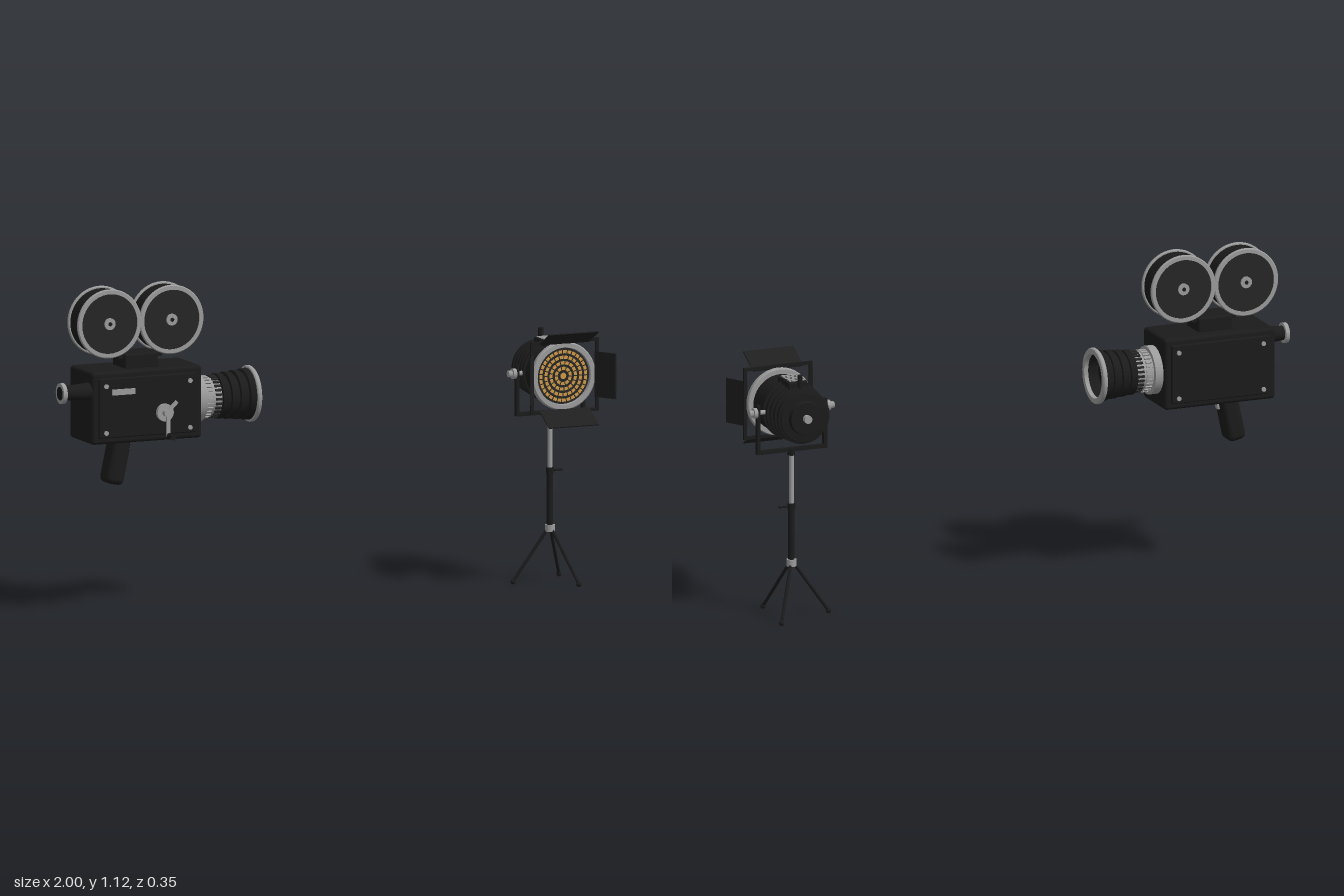
import * as THREE from 'three';
import { toCreasedNormals } from 'three/addons/utils/BufferGeometryUtils.js';
import { RoundedBoxGeometry } from 'three/addons/geometries/RoundedBoxGeometry.js';

const mat = (name, color, side = THREE.FrontSide) => {
  const m = new THREE.MeshStandardMaterial({ color, side });
  m.name = name;
  return m;
};

export function createModel() {
  const black = mat('black paint', 0x1b1b1b);
  const dark = mat('dark grey', 0x262626);
  const sheet = mat('door sheet black', 0x1f1f1f, THREE.DoubleSide);
  const silver = mat('silver metal', 0x9c9c9c);
  const amber = mat('amber lamp', 0xd09a48);
  const glass = mat('dark glass', 0x141618);

  const add = (parent, name, geo, material, x = 0, y = 0, z = 0) => {
    const m = new THREE.Mesh(geo, material);
    m.name = name;
    m.position.set(x, y, z);
    parent.add(m);
    return m;
  };
  const group = (parent, name, x = 0, y = 0, z = 0) => {
    const g = new THREE.Group();
    g.name = name;
    g.position.set(x, y, z);
    parent.add(g);
    return g;
  };
  const box = (w, h, d) => new THREE.BoxGeometry(w, h, d);
  const rbox = (w, h, d, r) => new RoundedBoxGeometry(w, h, d, 3, r);
  const cyl = (r1, r2, h, n = 32) => new THREE.CylinderGeometry(r1, r2, h, n);
  const cylX = (r1, r2, h, n) => cyl(r1, r2, h, n).rotateZ(-Math.PI / 2); // top faces +x
  const cylZ = (r1, r2, h, n) => cyl(r1, r2, h, n).rotateX(Math.PI / 2); // top faces +z
  // profile of [radius, height] pairs, kept crisp at corners
  const lathe = (pts, n = 48) =>
    toCreasedNormals(new THREE.LatheGeometry(pts.map(p => new THREE.Vector2(p[0], p[1])), n), 0.6);
  const rod = (parent, name, a, b, r, material) => {
    const d = b.clone().sub(a);
    const m = add(parent, name, cyl(r, r, d.length(), 12), material);
    m.position.copy(a).addScaledVector(d, 0.5);
    m.quaternion.setFromUnitVectors(new THREE.Vector3(0, 1, 0), d.normalize());
    return m;
  };

  const root = new THREE.Group();
  root.name = 'movie camera and studio light';

  // ---------- Movie camera ----------
  const cam = group(root, 'movieCamera');
  const bz = -0.025;
  add(cam, 'cameraBody', rbox(0.406, 0.248, 0.19, 0.012), black, -0.69, 0.724, bz);
  for (const s of [1, -1]) {
    add(cam, 'sidePanel', rbox(0.36, 0.205, 0.014, 0.005), black, -0.69, 0.724, bz + s * 0.096);
    for (const x of [-0.845, -0.535]) for (const y of [0.64, 0.8])
      add(cam, 'panelScrew', cylZ(0.008, 0.008, 0.008, 16), silver, x, y, bz + s * 0.104);
  }
  add(cam, 'namePlate', box(0.085, 0.02, 0.006), silver, -0.78, 0.778, bz + 0.104);

  // Reels and their mount
  add(cam, 'reelMount', rbox(0.125, 0.055, 0.107, 0.008), black, -0.692, 0.87, -0.021);
  add(cam, 'reelMountFoot', box(0.16, 0.014, 0.08), black, -0.692, 0.888, -0.021);
  const rim = lathe([[0.102, -0.006], [0.115, -0.006], [0.118, -0.003], [0.118, 0.003], [0.115, 0.006],
    [0.102, 0.006], [0.102, -0.006]]).rotateX(Math.PI / 2);
  for (const x of [-0.807, -0.578]) {
    const reel = group(cam, 'filmReel', x, 1.003, -0.022);
    add(reel, 'filmRoll', cylZ(0.111, 0.111, 0.07, 48), black);
    for (const s of [1, -1]) {
      add(reel, 'reelRim', rim, silver, 0, 0, s * 0.04);
      add(reel, 'reelFace', cylZ(0.104, 0.104, 0.008, 48), dark, 0, 0, s * 0.039);
      add(reel, 'reelHub', cylZ(0.02, 0.02, 0.012, 24), silver, 0, 0, s * 0.043);
      add(reel, 'hubHole', cylZ(0.007, 0.007, 0.003, 12), black, 0, 0, s * 0.0492);
    }
  }

  // Viewfinder
  const finder = group(cam, 'viewfinder', 0, 0.78, 0.038);
  add(finder, 'finderTube', cylX(0.031, 0.024, 0.1, 32), black, -0.94, 0, 0);
  add(finder, 'eyeCup', cylX(0.035, 0.035, 0.014, 32), silver, -0.991, 0, 0);
  add(finder, 'eyeGlass', cylX(0.023, 0.023, 0.004, 32), glass, -0.9972, 0, 0);

  // Lens, built along +x from the body
  const lens = group(cam, 'lens', -0.487, 0.722, -0.026);
  const turn = pts => lathe(pts).rotateZ(-Math.PI / 2);
  add(lens, 'lensMount', cylX(0.083, 0.083, 0.028, 48), silver, 0.014, 0, 0);
  add(lens, 'focusRing', cylX(0.068, 0.068, 0.075, 48), silver, 0.06, 0, 0);
  for (let i = 0; i < 28; i++) {
    const a = (i / 28) * Math.PI * 2;
    for (const x of [0.043, 0.076]) {
      const t = add(lens, 'gripTooth', box(0.024, 0.008, 0.008), x < 0.05 ? silver : dark,
        x, Math.cos(a) * 0.069, Math.sin(a) * 0.069);
      t.rotation.x = a;
    }
  }
  add(lens, 'lensBarrel', turn([
    [0.066, 0.088], [0.077, 0.09], [0.077, 0.112], [0.07, 0.114], [0.07, 0.12], [0.08, 0.122], [0.08, 0.144],
    [0.073, 0.146], [0.073, 0.152], [0.083, 0.154], [0.083, 0.176], [0.077, 0.178], [0.077, 0.184],
    [0.086, 0.188], [0.088, 0.21], [0.074, 0.21], [0.066, 0.17], [0, 0.17]]), black);
  add(lens, 'lensRim', turn([
    [0.074, 0.208], [0.093, 0.208], [0.096, 0.212], [0.096, 0.22], [0.093, 0.224], [0.076, 0.224], [0.074, 0.208]]), silver);
  const eye = add(lens, 'frontGlass', new THREE.SphereGeometry(0.066, 32, 12, 0, Math.PI * 2, 0, Math.PI / 2), glass, 0.171, 0, 0);
  eye.rotation.z = -Math.PI / 2;
  eye.scale.y = 0.25;

  // Grip and trigger
  const grip = group(cam, 'grip', -0.764, 0.535, -0.024);
  grip.rotation.z = -0.21;
  add(grip, 'gripHandle', rbox(0.066, 0.176, 0.08, 0.02), black);
  add(grip, 'trigger', rbox(0.02, 0.034, 0.02, 0.005), silver, 0.032, 0.047, 0);

  // Winding crank
  const crank = group(cam, 'crank', -0.631, 0.698, 0.08);
  add(crank, 'crankDisc', cylZ(0.03, 0.03, 0.016, 32), silver, 0, 0, 0.004);
  add(crank, 'crankAxle', cylZ(0.012, 0.012, 0.03, 20), silver, 0, 0, 0.015);
  add(crank, 'crankArm', box(0.014, 0.09, 0.008), silver, 0.006, -0.035, 0.02);
  const lever = add(crank, 'crankLever', box(0.012, 0.05, 0.008), silver, 0.02, 0.02, 0.02);
  lever.rotation.z = -0.8;
  add(crank, 'crankKnob', cylZ(0.011, 0.009, 0.042, 20), black, 0.008, -0.077, 0.038);

  // ---------- Studio light ----------
  const light = group(root, 'studioLight', 0.84, 0, -0.023);
  const V = (x, y, z) => new THREE.Vector3(x, y, z);

  // Stand
  for (const [x, z] of [[-0.129, -0.017], [0.053, 0.121], [0.08, -0.105]]) {
    rod(light, 'tripodLeg', V(x * 0.06, 0.185, z * 0.06), V(x, 0.01, z), 0.0055, black);
    add(light, 'tripodFoot', new THREE.SphereGeometry(0.009, 16, 10), black, x, 0.009, z);
  }
  add(light, 'tripodHub', cyl(0.017, 0.017, 0.024, 24), silver, 0, 0.187, 0);
  add(light, 'lowerTube', cyl(0.011, 0.011, 0.19, 24), black, 0, 0.29, 0);
  add(light, 'clampCollar', cyl(0.014, 0.014, 0.02, 24), black, 0, 0.385, 0);
  add(light, 'clampLever', cylX(0.004, 0.004, 0.035, 12), black, 0.028, 0.385, 0);
  add(light, 'upperTube', cyl(0.008, 0.008, 0.19, 24), silver, 0, 0.485, 0);

  // Yoke
  const head = group(light, 'lampHead', 0, 0.724, 0);
  add(head, 'yokeBase', box(0.254, 0.013, 0.016), black, 0, -0.14, 0);
  add(head, 'yokeSocket', cyl(0.013, 0.013, 0.024, 20), black, 0, -0.148, 0);
  for (const s of [1, -1]) {
    add(head, 'yokeArm', box(0.012, 0.172, 0.016), black, s * 0.122, -0.06, 0);
    add(head, 'pivotBolt', cylX(0.008, 0.008, 0.07, 16), silver, s * 0.118, 0, 0);
    add(head, 'pivotWasher', cylX(0.018, 0.018, 0.012, 24), silver, s * 0.134, 0, 0);
    add(head, 'pivotKnob', cylX(0.012, 0.012, 0.014, 6), silver, s * 0.148, 0, 0);
  }

  // Ribbed housing, built along z
  const housing = [[0, -0.132], [0.055, -0.132], [0.058, -0.116], [0.085, -0.114]];
  for (let i = 0; i < 5; i++) {
    const z = -0.11 + i * 0.027, r = 0.094 + i * 0.0025;
    housing.push([r - 0.008, z], [r, z + 0.002], [r, z + 0.013], [r - 0.008, z + 0.015]);
  }
  housing.push([0.098, 0.03], [0.098, 0.102], [0, 0.102]);
  add(head, 'housing', lathe(housing).rotateX(Math.PI / 2), black);
  add(head, 'rearCap', cylZ(0.045, 0.062, 0.02, 40).rotateY(Math.PI).scale(1, 1, -1).rotateY(0), black, 0, 0, -0.122).geometry =
    cylZ(0.062, 0.045, 0.02, 40);
  add(head, 'rearKnob', cylZ(0.014, 0.014, 0.02, 16), silver, 0, 0, -0.14);

  // Top vents and locking post
  add(head, 'ventBox', rbox(0.07, 0.03, 0.1, 0.006), black, 0, 0.096, -0.01);
  for (let i = 0; i < 5; i++)
    add(head, 'ventSlat', box(0.055, 0.005, 0.007), silver, 0, 0.111, 0.026 - i * 0.018);
  add(head, 'topPost', cyl(0.009, 0.009, 0.045, 16), black, 0, 0.115, -0.075);

  // Lens ring and rows of lamps
  add(head, 'frontRing', lathe([[0.094, 0.098], [0.114, 0.098], [0.117, 0.101], [0.117, 0.115], [0.113, 0.119],
    [0.098, 0.119], [0.094, 0.098]]).rotateX(Math.PI / 2), silver);
  add(head, 'lampPlate', cylZ(0.097, 0.097, 0.008, 48), dark, 0, 0, 0.105);
  add(head, 'centreLamp', new THREE.CircleGeometry(0.011, 20), amber, 0, 0, 0.111);
  for (let k = 0; k < 4; k++) {
    const r = 0.026 + k * 0.019, n = 10 + k * 7, step = (Math.PI * 2) / n;
    for (let i = 0; i < n; i++)
      add(head, 'lampSegment', new THREE.RingGeometry(r - 0.0055, r + 0.0055, 3, 1, i * step, step * 0.8), amber, 0, 0, 0.111);
  }

  // Square door frame
  for (const s of [1, -1]) {
    add(head, 'frameBarSide', box(0.011, 0.25, 0.008), black, s * 0.12, 0, 0.12);
    add(head, 'frameBarAcross', box(0.25, 0.011, 0.008), black, 0, s * 0.12, 0.12);
  }

  // Four barn doors, splayed outward
  const door = (name, angle, halfWidth, reach, depth) => {
    const pivot = group(head, name, 0, 0, 0.117);
    pivot.rotation.z = angle;
    const leaf = add(pivot, name + 'Leaf', box(halfWidth * 2, 0.004, Math.hypot(reach, depth)), sheet,
      0, 0.113 + reach / 2, depth / 2);
    leaf.rotation.x = -Math.atan2(reach, depth);
  };
  door('topDoor', 0, 0.092, 0.047, 0.084);
  door('bottomDoor', Math.PI, 0.092, 0.047, 0.084);
  door('leftDoor', -Math.PI / 2, 0.078, 0.045, 0.076);
  door('rightDoor', Math.PI / 2, 0.078, 0.045, 0.076);

  return root;
}
